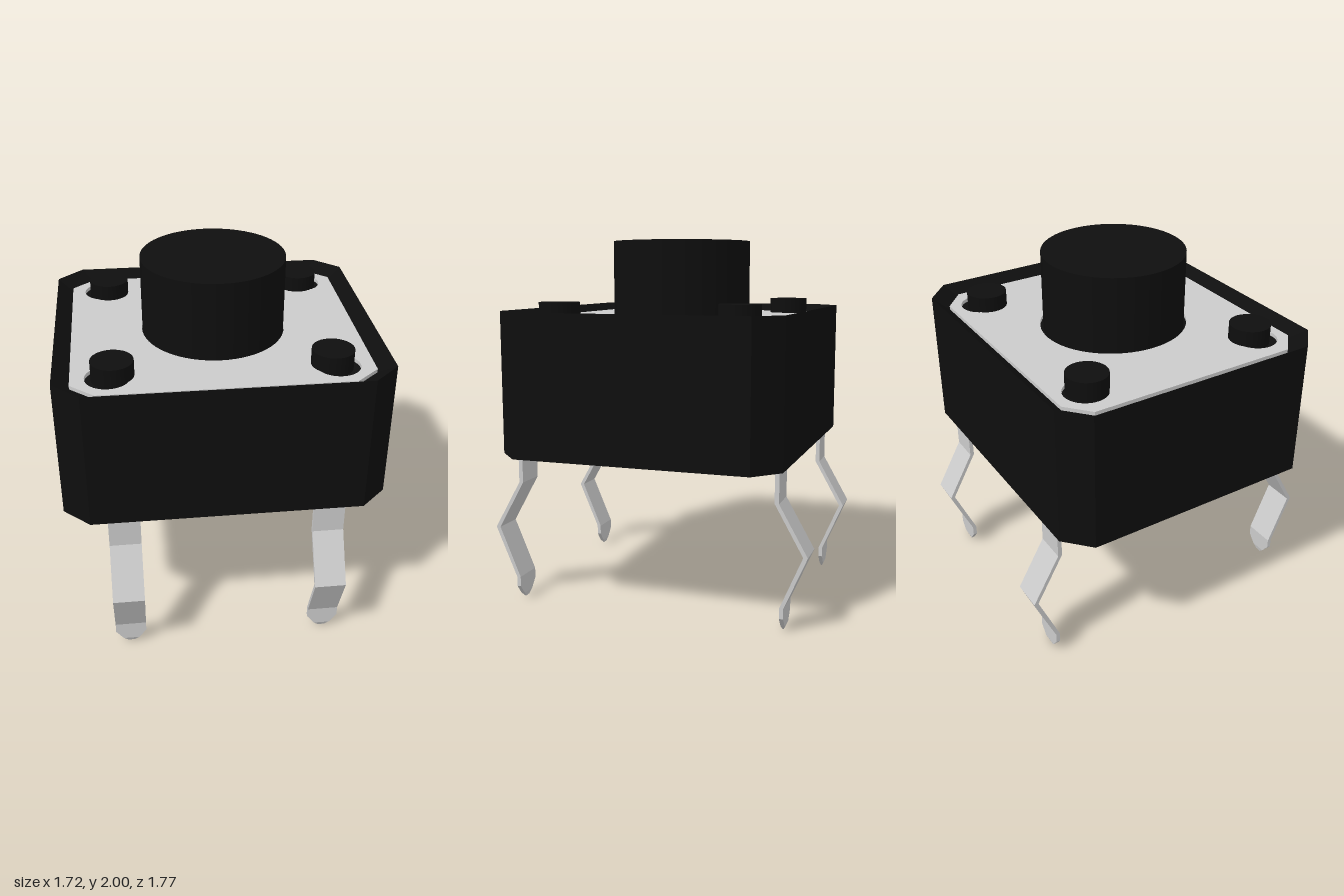
import * as THREE from 'three';

const black = new THREE.MeshStandardMaterial({ color: 0x0e0e0e });
const grey = new THREE.MeshStandardMaterial({ color: 0xcccccc });

// Corners of a rectangle with chamfered corners, counter-clockwise from above, as [x, z]
function octagon(w, d, cx, cz) {
  return [
    [w, cz], [w, -cz], [cx, -d], [-cx, -d],
    [-w, -cz], [-w, cz], [-cx, d], [cx, d],
  ];
}

// Joins horizontal loops (listed bottom to top) into a closed, flat-faced solid
function loft(loops) {
  const pos = [];
  const tri = (...pts) => pts.forEach((p) => pos.push(...p));
  const n = loops[0].length;
  for (let k = 0; k < loops.length - 1; k++) {
    const lo = loops[k], hi = loops[k + 1];
    for (let i = 0; i < n; i++) {
      const j = (i + 1) % n;
      tri(lo[i], lo[j], hi[j]);
      tri(lo[i], hi[j], hi[i]);
    }
  }
  const top = loops[loops.length - 1], bottom = loops[0];
  for (let i = 1; i < n - 1; i++) {
    tri(bottom[0], bottom[i + 1], bottom[i]);
    tri(top[0], top[i], top[i + 1]);
  }
  const geo = new THREE.BufferGeometry();
  geo.setAttribute('position', new THREE.Float32BufferAttribute(pos, 3));
  geo.computeVertexNormals();
  return geo;
}

const atHeight = (loop, y) => loop.map(([x, z]) => [x, y, z]);

function addMesh(parent, name, geo, mat) {
  const mesh = new THREE.Mesh(geo, mat);
  mesh.name = name;
  parent.add(mesh);
  return mesh;
}

// Upright cylinder between two heights
function addPost(parent, name, r, x, z, y0, y1, sides) {
  const post = addMesh(parent, name, new THREE.CylinderGeometry(r, r, y1 - y0, sides), black);
  post.position.set(x, (y0 + y1) / 2, z);
}

// Bent strip leg with a pointed tip, bulging toward +z
function legGeometry() {
  // [y, inner z, outer z, half width]
  const sections = [
    [0, 0.747, 0.754, 0.018],
    [0.025, 0.742, 0.764, 0.043],
    [0.078, 0.742, 0.764, 0.085],
    [0.133, 0.742, 0.764, 0.085],
    [0.413, 0.861, 0.885, 0.085],
    [0.68, 0.71, 0.733, 0.085],
    [0.9, 0.71, 0.733, 0.085],
  ];
  return loft(sections.map(([y, zi, zo, h]) => [
    [h, y, zo], [h, y, zi], [-h, y, zi], [-h, y, zo],
  ]));
}

export function createModel() {
  const model = new THREE.Group();
  model.name = 'pushButtonSwitch';

  // Chamfered housing with a rim sloping in to the cover plate
  const outer = octagon(0.86, 0.77, 0.72, 0.64);
  const inner = octagon(0.775, 0.695, 0.65, 0.585);
  addMesh(model, 'housing', loft([
    atHeight(outer, 0.86), atHeight(outer, 1.625), atHeight(inner, 1.565),
  ]), black);

  // Cover plate with openings for the button and the pegs
  const corners = [[1, 1], [1, -1], [-1, 1], [-1, -1]];
  const shape = new THREE.Shape(inner.map(([x, z]) => new THREE.Vector2(x, -z)));
  shape.holes.push(new THREE.Path().absellipse(0, 0, 0.39, 0.408, 0, Math.PI * 2, true));
  for (const [sx, sz] of corners) {
    shape.holes.push(new THREE.Path().absarc(sx * 0.585, sz * 0.523, 0.117, 0, Math.PI * 2, true));
  }
  const plate = new THREE.ExtrudeGeometry(shape, { depth: 0.02, bevelEnabled: false, curveSegments: 32 });
  plate.rotateX(-Math.PI / 2).translate(0, 1.565, 0);
  addMesh(model, 'coverPlate', plate, grey);

  // Button and corner pegs
  addPost(model, 'button', 0.387, 0, 0, 1.5, 2, 64);
  for (const [sx, sz] of corners) {
    addPost(model, 'peg', 0.11, sx * 0.56, sz * 0.5, 1.5, 1.67, 32);
  }

  // Two legs at the front, two mirrored at the back
  const legGeo = legGeometry();
  for (const [sx, sz] of corners) {
    const leg = addMesh(model, sz > 0 ? 'frontLeg' : 'backLeg', legGeo, grey);
    leg.position.x = sx * 0.547;
    if (sz < 0) leg.rotation.y = Math.PI;
  }

  return model;
}
